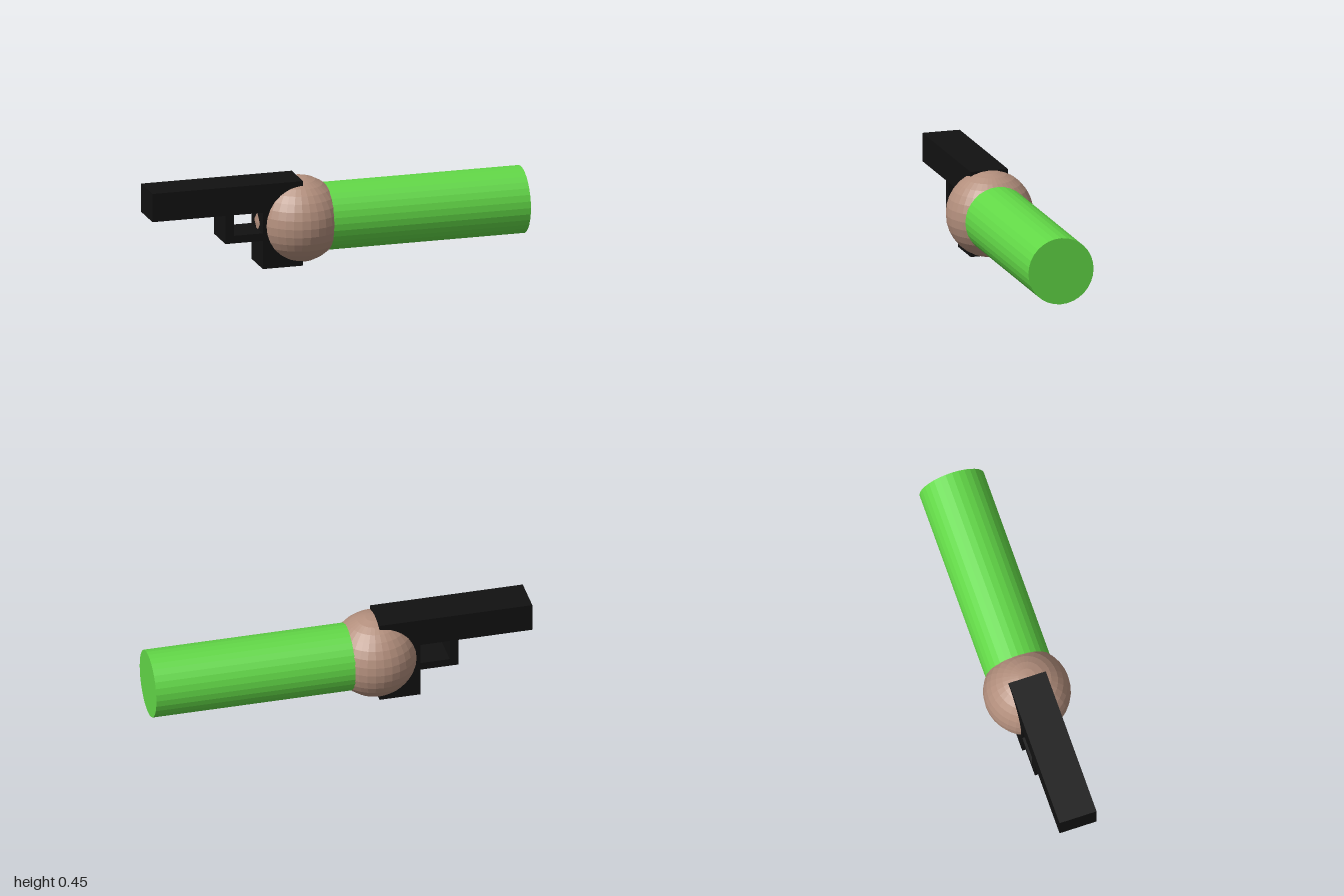
import * as THREE from 'three';

export function createModel() {
  const model = new THREE.Group();
  const paint = (color) => new THREE.MeshStandardMaterial({ color, flatShading: true });
  const black = paint(0x111111), skin = paint(0xb38f7d), green = paint(0x62d847);

  const add = (parent, name, geometry, material, x, y) => {
    const mesh = new THREE.Mesh(geometry, material);
    mesh.name = name;
    mesh.position.set(x, y, 0);
    parent.add(mesh);
    return mesh;
  };

  // Arm: a cylinder along x, its inner end sunk into the hand
  const arm = add(model, 'arm', new THREE.CylinderGeometry(0.175, 0.175, 1.19, 32), green, 0.405, 0.225);
  arm.rotation.z = -Math.PI / 2;

  // Round hand
  add(model, 'hand', new THREE.SphereGeometry(0.225, 32, 16), skin, -0.19, 0.225);

  // Pistol: every block has the same depth; given as x and y extents
  const pistol = new THREE.Group();
  pistol.name = 'pistol';
  model.add(pistol);
  const blocks = [
    ['barrel', -1, -0.195, 0.3, 0.45],
    ['grip', -0.41, -0.195, 0, 0.3],
    ['triggerGuardFront', -0.61, -0.565, 0.15, 0.3],
    ['triggerGuardBottom', -0.565, -0.41, 0.15, 0.19],
  ];
  for (const [name, x0, x1, y0, y1] of blocks) {
    add(pistol, name, new THREE.BoxGeometry(x1 - x0, y1 - y0, 0.2), black, (x0 + x1) / 2, (y0 + y1) / 2);
  }

  return model;
}
